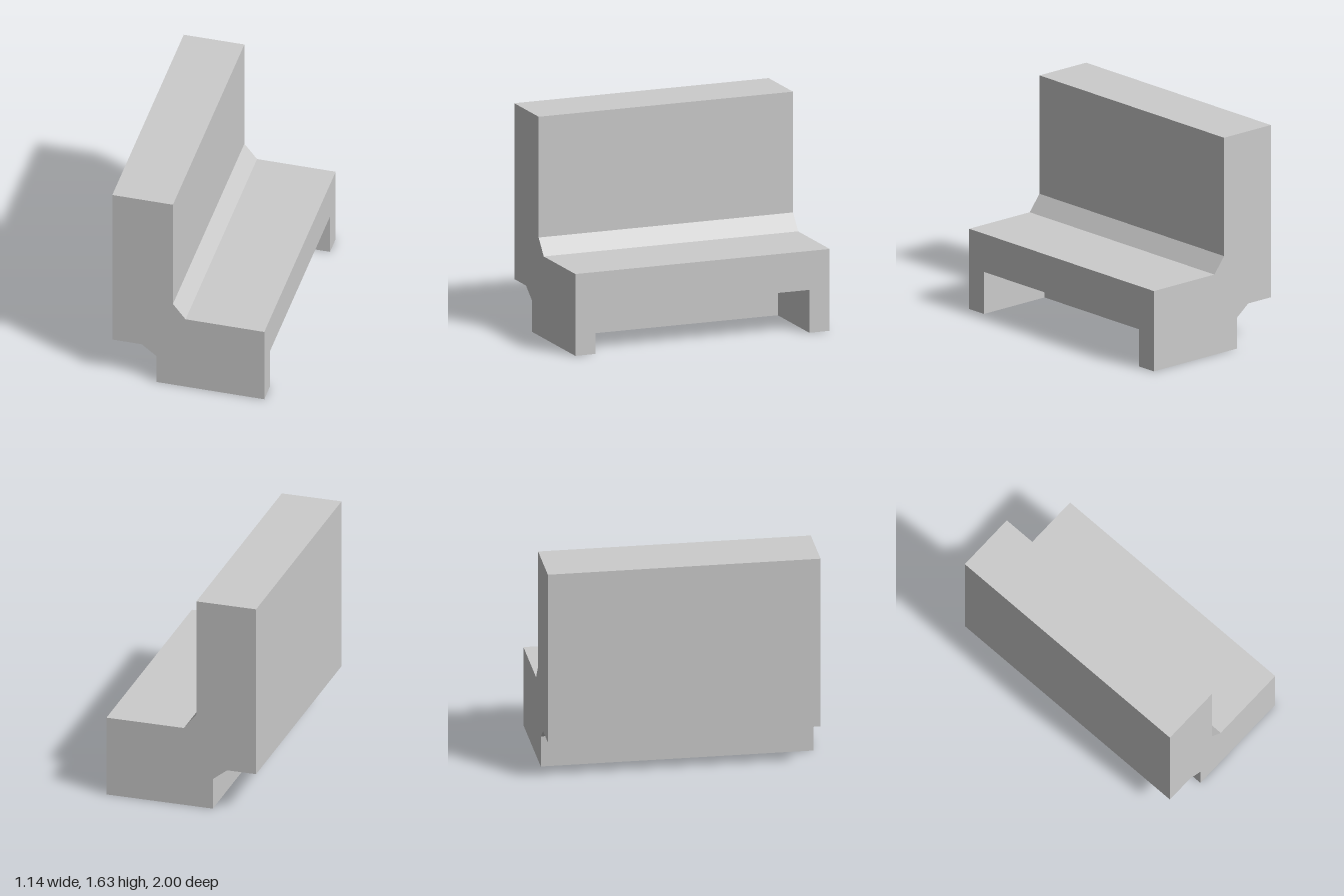
import * as THREE from 'three';

const material = new THREE.MeshStandardMaterial({ color: 0xcccccc, flatShading: true });
const HALF = 1;        // half length of the bench
const INNER = 0.84;    // inner faces of the two legs

// Walls swept along z from a polyline (solid on the left of its direction)
function strip(points, z0, z1) {
  const pos = [];
  for (let i = 0; i < points.length - 1; i++) {
    const [ax, ay] = points[i], [bx, by] = points[i + 1];
    pos.push(ax, ay, z0, bx, by, z0, bx, by, z1, ax, ay, z0, bx, by, z1, ax, ay, z1);
  }
  const geo = new THREE.BufferGeometry();
  geo.setAttribute('position', new THREE.Float32BufferAttribute(pos, 3));
  geo.computeVertexNormals();
  return geo;
}

// Flat face at depth z, facing +z (dir 1) or -z (dir -1)
function face(points, z, dir) {
  const geo = new THREE.ShapeGeometry(new THREE.Shape(points.map(p => new THREE.Vector2(...p))));
  if (dir < 0) geo.setIndex(Array.from(geo.index.array).reverse());
  geo.translate(0, 0, z);
  geo.computeVertexNormals();
  return geo;
}

export function createModel() {
  const group = new THREE.Group();
  group.name = 'bench';
  const add = (name, geo) => {
    const mesh = new THREE.Mesh(geo, material);
    mesh.name = name;
    group.add(mesh);
  };

  // Seat and backrest outline, from the front of the recess round to its back
  const body = [
    [0.57, 0.32], [0.57, 0.61], [-0.02, 0.61], [-0.115, 0.73], [-0.115, 1.63],
    [-0.57, 1.63], [-0.57, 0.32], [-0.35, 0.32], [-0.24, 0.235], [-0.24, 0], [-0.02, 0],
  ];
  const leg = [[-0.02, 0], [0.57, 0], [0.57, 0.32]];
  const recess = [[-0.02, 0], [-0.02, 0.32], [0.57, 0.32]];

  add('seatAndBackrest', strip(body, -HALF, HALF));
  add('legRecess', strip(recess, -INNER, INNER));

  // End faces, leg undersides and inner leg faces, mirrored along z
  for (const s of [1, -1]) {
    const side = s > 0 ? 'Front' : 'Back';
    add('end' + side, face([...body, leg[1]], s * HALF, s));
    add('leg' + side, s > 0 ? strip(leg, INNER, HALF) : strip(leg, -HALF, -INNER));
    add('legInner' + side, face([...leg, recess[1]], s * INNER, -s));
  }
  return group;
}
